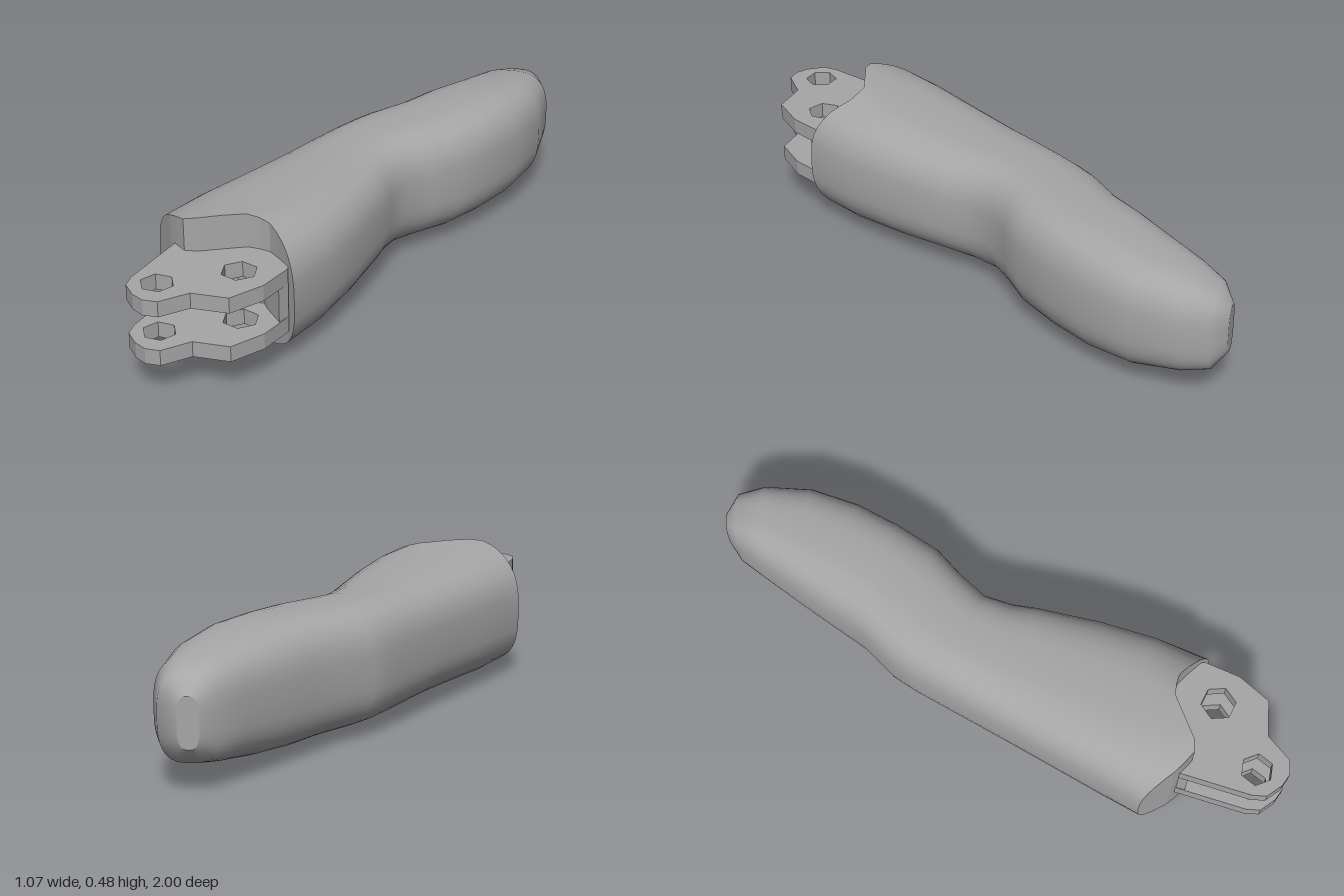
import * as THREE from 'three';

const N = 40; // points around each cross-section

// Wavy profile of the finger's open end, z as a function of x
const END = [[-0.54, 0.5], [-0.45, 0.62], [-0.39, 0.67], [-0.32, 0.655], [-0.25, 0.61],
  [-0.19, 0.59], [-0.12, 0.61], [-0.05, 0.68], [-0.015, 0.72]];
function endZ(x) {
  for (let i = 1; i < END.length; i++) {
    const [x0, z0] = END[i - 1], [x1, z1] = END[i];
    if (x <= x1) return z0 + (z1 - z0) * Math.max(0, (x - x0) / (x1 - x0));
  }
  return END[END.length - 1][1];
}

// Cross-sections from tip to base: left x, z, right x, z, bottom y, top y
const SECTIONS = [
  [0.36, -0.995, 0.43, -1.0, 0.16, 0.33],
  [0.30, -0.95, 0.50, -0.96, 0.105, 0.39],
  [0.24, -0.86, 0.53, -0.87, 0.08, 0.42],
  [0.15, -0.72, 0.53, -0.70, 0.05, 0.44],
  [0.075, -0.60, 0.48, -0.53, 0.033, 0.455],
  [0.0, -0.48, 0.41, -0.38, 0.03, 0.455],
  [-0.10, -0.37, 0.33, -0.24, 0.03, 0.453],
  [-0.14, -0.30, 0.24, -0.15, 0.03, 0.452],
  [-0.18, -0.22, 0.165, -0.06, 0.033, 0.45],
  [-0.24, -0.10, 0.14, 0.04, 0.035, 0.45],
  [-0.30, 0.02, 0.135, 0.12, 0.035, 0.45],
  [-0.42, 0.26, 0.10, 0.34, 0.022, 0.46],
  [-0.48, 0.38, 0.05, 0.54, 0.012, 0.468],
  [-0.54, 0.50, -0.015, 0.72, 0.0, 0.48],
];

// Rounded-box cross-section
function ring([lx, lz, rx, rz, y0, y1], last) {
  const pts = [];
  for (let j = 0; j < N; j++) {
    const t = (j / N) * Math.PI * 2;
    const round = (v) => Math.sign(v) * Math.pow(Math.abs(v), 2 / 2.9);
    const u = (round(Math.cos(t)) + 1) / 2;
    const x = lx + (rx - lx) * u;
    const z = last ? endZ(x) : lz + (rz - lz) * u;
    pts.push([x, (y0 + y1) / 2 + ((y1 - y0) / 2) * round(Math.sin(t)), z]);
  }
  return pts;
}

function geometry(points, index) {
  const g = new THREE.BufferGeometry();
  g.setAttribute('position', new THREE.Float32BufferAttribute(points.flat(), 3));
  g.setIndex(index);
  return g;
}

function skin(rings) {
  const index = [];
  for (let i = 0; i < rings.length - 1; i++) {
    for (let j = 0; j < N; j++) {
      const k = (j + 1) % N;
      const a = i * N + j, b = i * N + k, c = b + N, d = a + N;
      index.push(a, b, c, a, c, d);
    }
  }
  const g = geometry(rings.flat(), index);
  g.computeVertexNormals();
  return g;
}

// Closes a ring with vertical strips
function cap(points, front) {
  const index = [];
  for (let k = 0; k < N / 2; k++) {
    const t0 = k, t1 = k + 1, b0 = (N - k) % N, b1 = N - k - 1;
    if (front) index.push(b0, t0, t1, b0, t1, b1);
    else index.push(b0, t1, t0, b0, b1, t1);
  }
  const g = geometry(points, index).toNonIndexed();
  g.computeVertexNormals();
  return g;
}

// Flat plate from an (x, z) outline, standing from y0 to y1
function plate(outline, holes, y0, y1) {
  const toPts = (list) => list.map(([x, z]) => new THREE.Vector2(x, -z));
  const shape = new THREE.Shape(toPts(outline));
  for (const h of holes) shape.holes.push(new THREE.Path(toPts(h)));
  const g = new THREE.ExtrudeGeometry(shape, { depth: y1 - y0, bevelEnabled: false });
  g.rotateX(-Math.PI / 2);
  g.translate(0, y0, 0);
  return g;
}

function hexagon(cx, cz, r, turn) {
  return Array.from({ length: 6 }, (_, i) => {
    const a = turn + (i * Math.PI) / 3;
    return [cx + r * Math.cos(a), cz + r * Math.sin(a)];
  });
}

export function createModel() {
  const grey = new THREE.MeshStandardMaterial({ color: 0xa6a6a6 });
  grey.name = 'grey plastic';
  const model = new THREE.Group();
  model.name = 'fingerSegment';
  const add = (name, geo) => {
    const m = new THREE.Mesh(geo, grey);
    m.name = name;
    model.add(m);
  };

  // Finger body
  const rings = SECTIONS.map((s, i) => ring(s, i === SECTIONS.length - 1));
  add('fingerBody', skin(rings));
  add('fingerTip', cap(rings[0], false));
  add('fingerBase', cap(rings[rings.length - 1], true));

  // Pair of hinge plates with pin holes
  const hinge = [[-0.42, 0.55], [-0.44, 0.63], [-0.5, 0.87], [-0.5, 0.92], [-0.46, 0.97],
    [-0.42, 0.995], [-0.37, 0.995], [-0.29, 0.92], [-0.165, 0.92], [-0.085, 0.82],
    [-0.04, 0.7], [-0.08, 0.55]];
  const pins = [hexagon(-0.185, 0.75, 0.06, 0.4), hexagon(-0.41, 0.885, 0.056, 0.1)];
  add('upperHinge', plate(hinge, pins, 0.303, 0.358));
  add('lowerHinge', plate(hinge, pins, 0.128, 0.183));

  // Filled web between the hinge plates
  const web = [[-0.42, 0.55], [-0.445, 0.66], [-0.22, 0.66], [-0.2, 0.64], [-0.14, 0.64],
    [-0.12, 0.67], [-0.06, 0.74], [-0.04, 0.7], [-0.08, 0.55]];
  add('hingeWeb', plate(web, [], 0.183, 0.303));

  return model;
}
